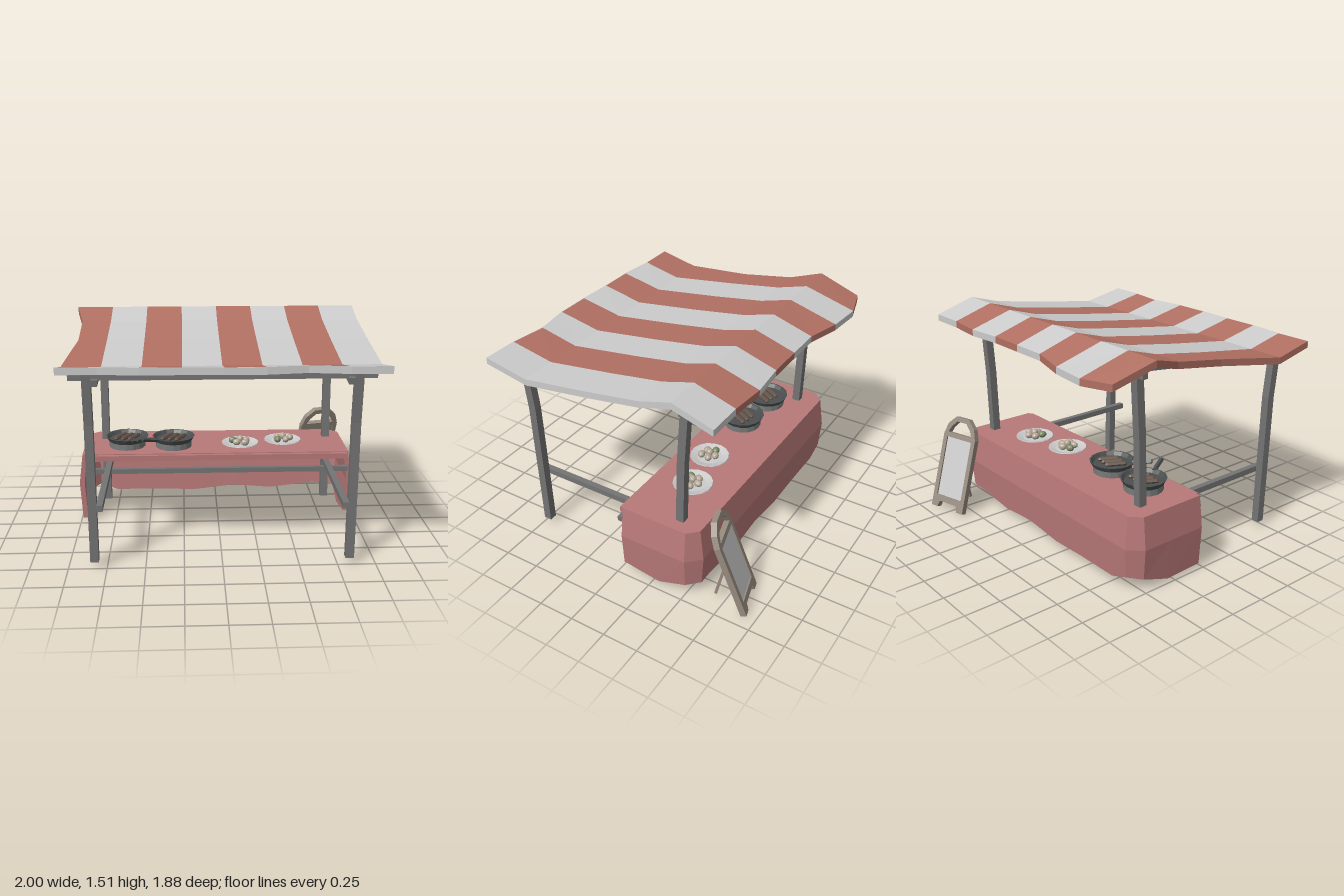
import * as THREE from 'three';

const mat = (color) => new THREE.MeshStandardMaterial({ color, flatShading: true });
const M = {
  wood: mat(0x747474), white: mat(0xcccccc), red: mat(0xb07062), cloth: mat(0xb87878),
  iron: mat(0x4c5050), stove: mat(0x787a7a), brown: mat(0x66554a), sign: mat(0x988c80),
  dumpling: mat(0xb5a898), green: mat(0x7c8a66),
};

function add(parent, name, geo, material, x = 0, y = 0, z = 0) {
  const m = new THREE.Mesh(geo, material);
  m.name = name;
  m.position.set(x, y, z);
  parent.add(m);
  return m;
}

// Square bar between two points
function bar(parent, name, a, b, w, material, d = w) {
  const A = new THREE.Vector3(...a), B = new THREE.Vector3(...b);
  const dir = B.clone().sub(A);
  const m = add(parent, name, new THREE.BoxGeometry(w, dir.length(), d), material);
  m.position.copy(A).add(B).multiplyScalar(0.5);
  m.quaternion.setFromUnitVectors(new THREE.Vector3(0, 1, 0), dir.normalize());
  return m;
}

// Closed sheet with thickness: outer(i, j) and inner(i, j) return points
function slab(nu, nv, outer, inner) {
  const pos = [];
  const quad = (a, b, c, d) => pos.push(...a, ...b, ...c, ...a, ...c, ...d);
  const rim = (i, j, k, l) => quad(inner(i, j), inner(k, l), outer(k, l), outer(i, j));
  for (let i = 0; i < nu; i++) {
    for (let j = 0; j < nv; j++) {
      quad(outer(i, j), outer(i + 1, j), outer(i + 1, j + 1), outer(i, j + 1));
      quad(inner(i, j), inner(i, j + 1), inner(i + 1, j + 1), inner(i + 1, j));
    }
    rim(i, 0, i + 1, 0);
    rim(i + 1, nv, i, nv);
  }
  for (let j = 0; j < nv; j++) {
    rim(nu, j, nu, j + 1);
    rim(0, j + 1, 0, j);
  }
  const g = new THREE.BufferGeometry();
  g.setAttribute('position', new THREE.Float32BufferAttribute(pos, 3));
  g.computeVertexNormals();
  return g;
}

// Post bent at the middle level; levels are [y, z]
function post(parent, name, x, levels) {
  const g = new THREE.BoxGeometry(0.055, 2, 0.055, 1, 2, 1), p = g.attributes.position;
  for (let i = 0; i < p.count; i++) {
    const [y, z] = levels[Math.round(p.getY(i) + 1)];
    p.setY(i, y);
    p.setZ(i, p.getZ(i) + z);
  }
  g.computeVertexNormals();
  add(parent, name, g, M.wood, x);
}

function buildFrame(root) {
  const f = new THREE.Group();
  f.name = 'frame';
  root.add(f);
  for (const s of [-1, 1]) {
    post(f, 'frontPost', 0.83 * s, [[0.04, 0.716], [0.97, 0.74], [1.29, 0.775]]);
    post(f, 'backPost', 0.83 * s, [[0.04, -0.395], [0.97, -0.42], [1.46, -0.453]]);
    bar(f, 'sideRail', [0.78 * s, 0.435, 0.8], [0.78 * s, 0.435, -0.5], 0.04, M.wood);
    bar(f, 'rafter', [0.78 * s, 1.25, 0.82], [0.78 * s, 1.405, -0.5], 0.04, M.wood);
  }
  bar(f, 'tableRail', [-0.93, 0.402, 0.01], [0.93, 0.402, 0.01], 0.035, M.wood);
  bar(f, 'frontBeam', [-0.94, 1.28, 0.78], [0.94, 1.28, 0.78], 0.035, M.wood);
  bar(f, 'backBeam', [-0.94, 1.4, -0.48], [0.94, 1.4, -0.48], 0.038, M.wood);
}

function buildCanopy(root) {
  const c = new THREE.Group();
  c.name = 'canopy';
  root.add(c);
  const rows = [[0.94, 1.37], [0.63, 1.31], [0.14, 1.38], [-0.23, 1.44], [-0.45, 1.505], [-0.73, 1.42]];
  const leftX = [-1, -1, -0.94, -0.95, -1, -0.97];
  const frontZ = [0.9, 0.9, 0.925, 0.925, 0.935, 0.935, 0.9, 0.935, 0.94];
  const backZ = [-0.75, -0.81, -0.79, -0.73, -0.73, -0.73, -0.75, -0.73, -0.73];
  const point = (i, j, dy = 0, dz = 0) => [
    i === 0 ? leftX[j] : -1 + i * 0.25,
    rows[j][1] + dy - (j === 5 ? (-0.73 - backZ[i]) * 0.15 : 0),
    (j === 0 ? frontZ[i] : j === 5 ? backZ[i] : rows[j][0]) + dz,
  ];
  for (let i = 0; i < 8; i++) {
    add(c, 'canopyStripe', slab(1, 5, (u, v) => point(i + u, v), (u, v) => point(i + u, v, -0.045)),
      i % 2 ? M.white : M.red);
  }
  // White edging along the front
  add(c, 'canopyHem', slab(8, 1, (u, v) => point(u, 0, 0, v ? 0 : 0.004),
    (u, v) => point(u, 0, -0.046, v ? 0 : 0.004)), M.white);
}

function buildCloth(root) {
  const c = new THREE.Group();
  c.name = 'tablecloth';
  root.add(c);
  // Plan outline: x, z, hem height, outward x and z
  const path = [
    [-0.97, -0.025, 0.03, -1, 0], [-0.97, -0.3, 0.02, -1, 0], [-0.97, -0.5, 0.09, -1, -0.3],
    [-0.9, -0.57, 0.1, -0.3, -1], [-0.77, -0.57, 0.05, 0, -1], [-0.45, -0.57, 0.05, 0, -1],
    [-0.17, -0.57, 0.04, 0, -1], [0.15, -0.57, 0.075, 0, -1], [0.43, -0.57, 0.05, 0, -1],
    [0.77, -0.57, 0.09, 0, -1], [0.87, -0.57, 0.09, 0.3, -1], [0.94, -0.5, 0.09, 1, -0.3],
    [0.94, -0.3, 0.02, 1, 0], [0.94, -0.025, 0.06, 1, 0],
  ];
  const bulge = [0, 0.028, 0.012];
  const at = (i, j, inset) => {
    const [x, z, hem, ox, oz] = path[i], k = bulge[j] - inset;
    return [x + ox * k, [0.515, 0.3, hem][j], z + oz * k];
  };
  add(c, 'drape', slab(path.length - 1, 2, (i, j) => at(i, j, 0), (i, j) => at(i, j, 0.035)), M.cloth);
  const top = new THREE.Shape(path.map(([x, z]) => new THREE.Vector2(x, -z)));
  const g = new THREE.ExtrudeGeometry(top, { depth: 0.035, bevelEnabled: false }).rotateX(-Math.PI / 2);
  add(c, 'clothTop', g, M.cloth, 0, 0.481);
  add(c, 'frontFold', new THREE.BoxGeometry(1.86, 0.04, 0.03), M.cloth, 0, 0.49, -0.012);
}

// Stove ring with a frying pan and sausages; tip is the handle end
function buildPan(root, x, z, tip) {
  const p = new THREE.Group();
  p.name = 'fryingPan';
  p.position.set(x, 0.515, z);
  root.add(p);
  add(p, 'stove', new THREE.CylinderGeometry(0.132, 0.132, 0.045, 16), M.stove, 0, 0.022);
  const profile = [[0, 0.045], [0.135, 0.045], [0.155, 0.08], [0.145, 0.08], [0.128, 0.056], [0, 0.056]];
  add(p, 'pan', new THREE.LatheGeometry(profile.map((q) => new THREE.Vector2(...q)), 16), M.iron);
  const d = new THREE.Vector3(tip[0], 0, tip[2]).normalize().multiplyScalar(0.14);
  bar(p, 'handle', [d.x, 0.07, d.z], tip, 0.026, M.iron, 0.02);
  for (let i = -1; i <= 1; i++) {
    const s = add(p, 'sausage', new THREE.CapsuleGeometry(0.016, 0.12, 2, 6), M.brown, i * 0.05, 0.068, 0.01 * i);
    s.rotation.set(Math.PI / 2, 0, 0.5);
  }
}

function buildPlate(root, x, z, turn) {
  const p = new THREE.Group();
  p.name = 'plateOfDumplings';
  p.position.set(x, 0.515, z);
  p.rotation.y = turn;
  root.add(p);
  const profile = [[0, 0], [0.09, 0], [0.137, 0.016], [0.135, 0.022], [0.088, 0.008], [0, 0.008]];
  add(p, 'plate', new THREE.LatheGeometry(profile.map((q) => new THREE.Vector2(...q)), 16), M.white);
  for (let i = 0; i < 5; i++) {
    const a = i * 1.257, r = 0.045 + 0.012 * (i % 2);
    const b = add(p, 'dumpling', new THREE.IcosahedronGeometry(0.028, 1), i === 3 ? M.green : M.dumpling,
      r * Math.cos(a), 0.03, r * Math.sin(a));
    b.scale.set(1.1, 0.9, 0.9);
  }
  add(p, 'dumpling', new THREE.IcosahedronGeometry(0.026, 1), M.dumpling, 0, 0.045, 0);
}

// Leaning board with an arched grip, a panel and a rear strut
function buildSign(root) {
  const s = new THREE.Group();
  s.name = 'signboard';
  s.position.set(0.775, 0.006, -0.88);
  s.rotation.set(0.335, 0.28, 0, 'YXZ');
  root.add(s);
  const pts = (list) => list.map((q) => new THREE.Vector2(...q));
  const shape = new THREE.Shape(pts([[-0.153, 0], [-0.095, 0], [-0.08, 0.045], [0.08, 0.045], [0.095, 0],
    [0.153, 0], [0.153, 0.55], [0.125, 0.63], [0.06, 0.69], [-0.06, 0.69], [-0.125, 0.63], [-0.153, 0.55]]));
  shape.holes.push(new THREE.Path(pts([[-0.118, 0.09], [-0.118, 0.53], [0.118, 0.53], [0.118, 0.09]])));
  shape.holes.push(new THREE.Path(pts([[-0.113, 0.565], [-0.09, 0.61], [-0.045, 0.655], [0.045, 0.655],
    [0.09, 0.61], [0.113, 0.565]])));
  add(s, 'signFrame', new THREE.ExtrudeGeometry(shape, { depth: 0.04, bevelEnabled: false }), M.sign, 0, 0, -0.02);
  add(s, 'signPanel', new THREE.BoxGeometry(0.24, 0.445, 0.012), M.white, 0, 0.31, -0.004);
  add(s, 'signBack', new THREE.BoxGeometry(0.24, 0.445, 0.012), M.sign, 0, 0.31, 0.008);
  bar(s, 'strut', [0, 0.37, 0.02], [0, 0.095, 0.195], 0.06, M.sign, 0.02);
}

export function createModel() {
  const root = new THREE.Group();
  root.name = 'marketStall';
  buildFrame(root);
  buildCanopy(root);
  buildCloth(root);
  buildPan(root, -0.66, -0.23, [0.08, 0.115, 0.23]);
  buildPan(root, -0.32, -0.21, [-0.22, 0.1, 0.16]);
  buildPlate(root, 0.17, -0.22, 0.3);
  buildPlate(root, 0.49, -0.28, 1.4);
  buildSign(root);
  return root;
}
